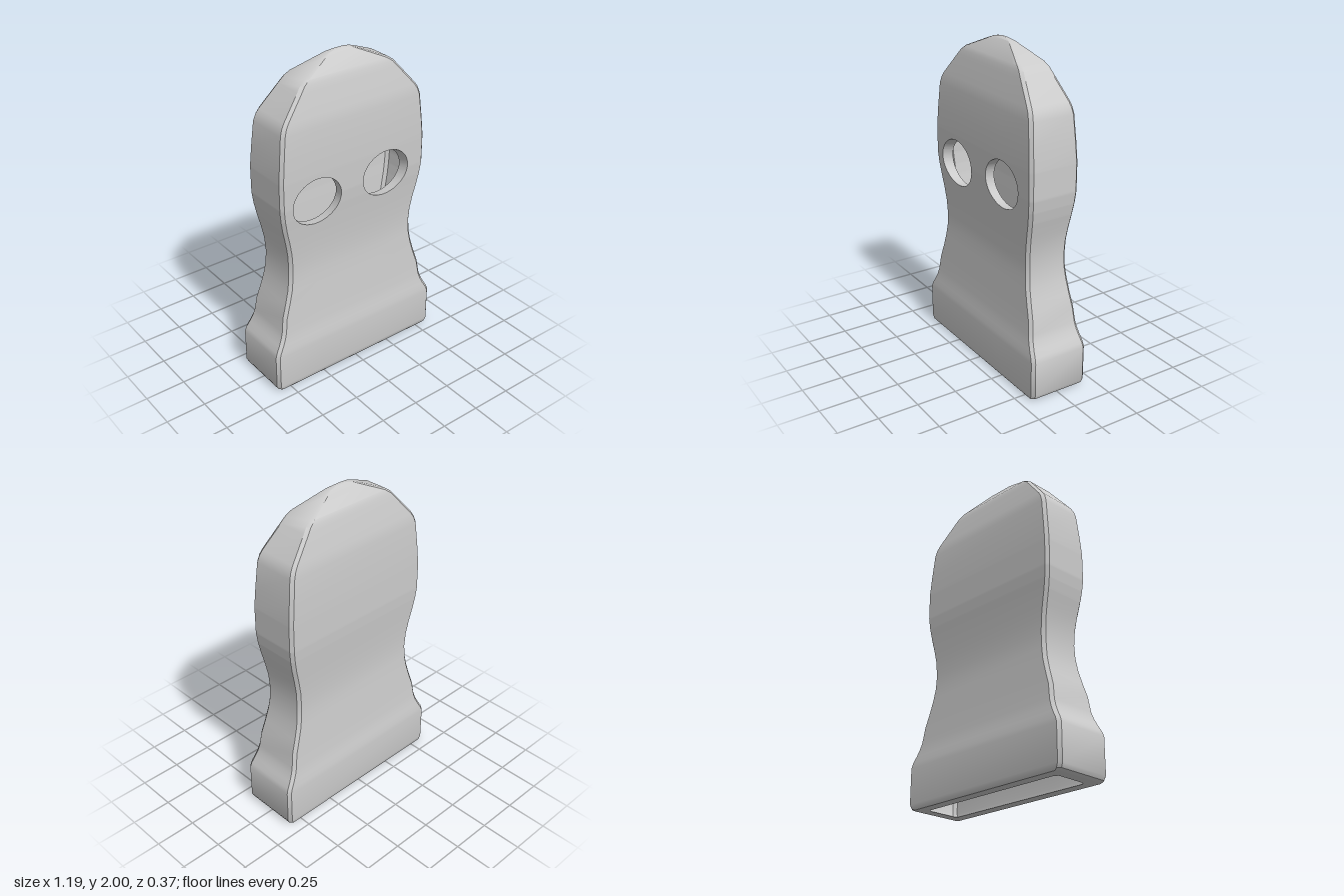
import * as THREE from 'three';
import { toCreasedNormals } from 'three/addons/utils/BufferGeometryUtils.js';

// height, half width, half depth
const PROFILE = [
  [0, 0.565, 0.175], [0.01, 0.583, 0.183], [0.035, 0.595, 0.187], [0.25, 0.595, 0.187], [0.28, 0.585, 0.184],
  [0.32, 0.562, 0.177], [0.36, 0.543, 0.17], [0.4, 0.53, 0.165], [0.49, 0.517, 0.157], [0.58, 0.488, 0.149],
  [0.66, 0.466, 0.143], [0.73, 0.455, 0.137], [0.81, 0.451, 0.135], [0.9, 0.457, 0.138], [0.98, 0.472, 0.143],
  [1.07, 0.493, 0.15], [1.14, 0.506, 0.156], [1.21, 0.514, 0.16], [1.38, 0.514, 0.16], [1.5, 0.503, 0.156],
  [1.65, 0.487, 0.149], [1.69, 0.474, 0.144], [1.72, 0.455, 0.138], [1.85, 0.345, 0.107], [1.88, 0.32, 0.099],
  [1.905, 0.285, 0.089], [1.97, 0.137, 0.036], [1.99, 0.085, 0.02], [2, 0.035, 0.008],
];
const EYES = [
  { x: -0.27, y: 1.2, rx: 0.167, ry: 0.143 },
  { x: 0.222, y: 1.223, rx: 0.167, ry: 0.143 },
];
const WALL = 0.065;
const EYE_STEPS = 22;

function sizeAt(y) {
  let i = 1;
  while (i < PROFILE.length - 1 && PROFILE[i][0] < y) i++;
  const [y0, w0, d0] = PROFILE[i - 1], [y1, w1, d1] = PROFILE[i];
  const t = (y - y0) / (y1 - y0);
  return [w0 + (w1 - w0) * t, d0 + (d1 - d0) * t];
}

const eyeHalf = (e, y) => {
  const q = 1 - ((y - e.y) / e.ry) ** 2;
  return q > 1e-6 ? e.rx * Math.sqrt(q) : 0;
};

// Bevelled rectangular ring; points 1-2 and 3-4 are the sides of the eye holes
function ring(y, inset) {
  const [w0, d0] = sizeAt(y);
  const w = w0 - inset, d = d0 - inset;
  const c = Math.min(0.018, 0.35 * d, 0.35 * w);
  const clamp = (x) => Math.max(c - w, Math.min(w - c, x));
  const shift = inset > 0 ? 0.01 : 0;
  const yy = inset > 0 ? Math.max(0, y - 0.012) : y;
  const eyeX = EYES.flatMap((e) => {
    const h = eyeHalf(e, y), x = e.x - Math.sign(e.x) * shift;
    return [clamp(x - h), clamp(x + h)];
  });
  return [
    [c - w, d], ...eyeX.map((x) => [x, d]), [w - c, d],
    [w, d - c], [w, c - d], [w - c, -d], [c - w, -d], [-w, c - d], [-w, d - c],
  ].map(([x, z]) => new THREE.Vector3(x, yy, z));
}

// Collects triangles, leaving out empty ones
function surface() {
  const pos = [];
  const tri = (a, b, c) => {
    const area = b.clone().sub(a).cross(c.clone().sub(a)).length();
    if (area > 1e-9) for (const p of [a, b, c]) pos.push(p.x, p.y, p.z);
  };
  const quad = (a, b, c, d) => { tri(a, b, c); tri(a, c, d); };
  const cap = (r, up) => {
    const m = new THREE.Vector3(0, r[0].y, 0);
    r.forEach((p, j) => {
      const n = r[(j + 1) % r.length];
      if (up) tri(m, p, n); else tri(m, n, p);
    });
  };
  const loft = (rings, outward) => {
    for (let i = 0; i + 1 < rings.length; i++) {
      const a = rings[i], b = rings[i + 1];
      for (let j = 0; j < a.length; j++) {
        if (j === 1 || j === 3) continue; // eye openings
        const k = (j + 1) % a.length;
        if (outward) quad(a[j], a[k], b[k], b[j]);
        else quad(a[k], a[j], b[j], b[k]);
      }
    }
  };
  const mesh = (name, material) => {
    const g = new THREE.BufferGeometry();
    g.setAttribute('position', new THREE.Float32BufferAttribute(pos, 3));
    const m = new THREE.Mesh(toCreasedNormals(g, 0.6), material);
    m.name = name;
    return m;
  };
  return { quad, cap, loft, mesh };
}

export function createModel() {
  const group = new THREE.Group();
  group.name = 'hollowMask';
  const material = new THREE.MeshStandardMaterial({ color: 0xcccccc });

  // Rows of the profile, with extra ones across the eyes
  const ys = PROFILE.map((p) => p[0]);
  for (const e of EYES) {
    for (let i = 0; i <= EYE_STEPS; i++) ys.push(e.y - e.ry * Math.cos((i / EYE_STEPS) * Math.PI));
  }
  ys.sort((a, b) => a - b);
  const rows = ys.filter((y, i) => i === 0 || y - ys[i - 1] > 1e-6);

  const outer = rows.map((y) => ring(y, 0));
  const inner = rows.filter((y) => y < 1.89).map((y) => ring(y, WALL));

  // Outer skin, closed at the crown
  const skin = surface();
  skin.loft(outer, true);
  skin.cap(outer[outer.length - 1], true);
  group.add(skin.mesh('outerShell', material));

  // Inside of the hollow
  const lining = surface();
  lining.loft(inner, false);
  lining.cap(inner[inner.length - 1], false);
  group.add(lining.mesh('innerLining', material));

  // Rim around the open bottom
  const hem = surface();
  const o = outer[0], n = inner[0];
  o.forEach((p, j) => {
    const k = (j + 1) % o.length;
    hem.quad(p, n[j], n[k], o[k]);
  });
  group.add(hem.mesh('bottomRim', material));

  // Edges of the eye holes through the wall
  EYES.forEach((e, s) => {
    const rim = surface();
    const l = 1 + 2 * s, r = l + 1;
    for (let i = 0; i + 1 < inner.length; i++) {
      if (eyeHalf(e, rows[i]) + eyeHalf(e, rows[i + 1]) === 0) continue;
      rim.quad(outer[i][l], inner[i][l], inner[i + 1][l], outer[i + 1][l]);
      rim.quad(inner[i][r], outer[i][r], outer[i + 1][r], inner[i + 1][r]);
    }
    group.add(rim.mesh(e.x > 0 ? 'leftEyeRim' : 'rightEyeRim', material));
  });

  return group;
}
